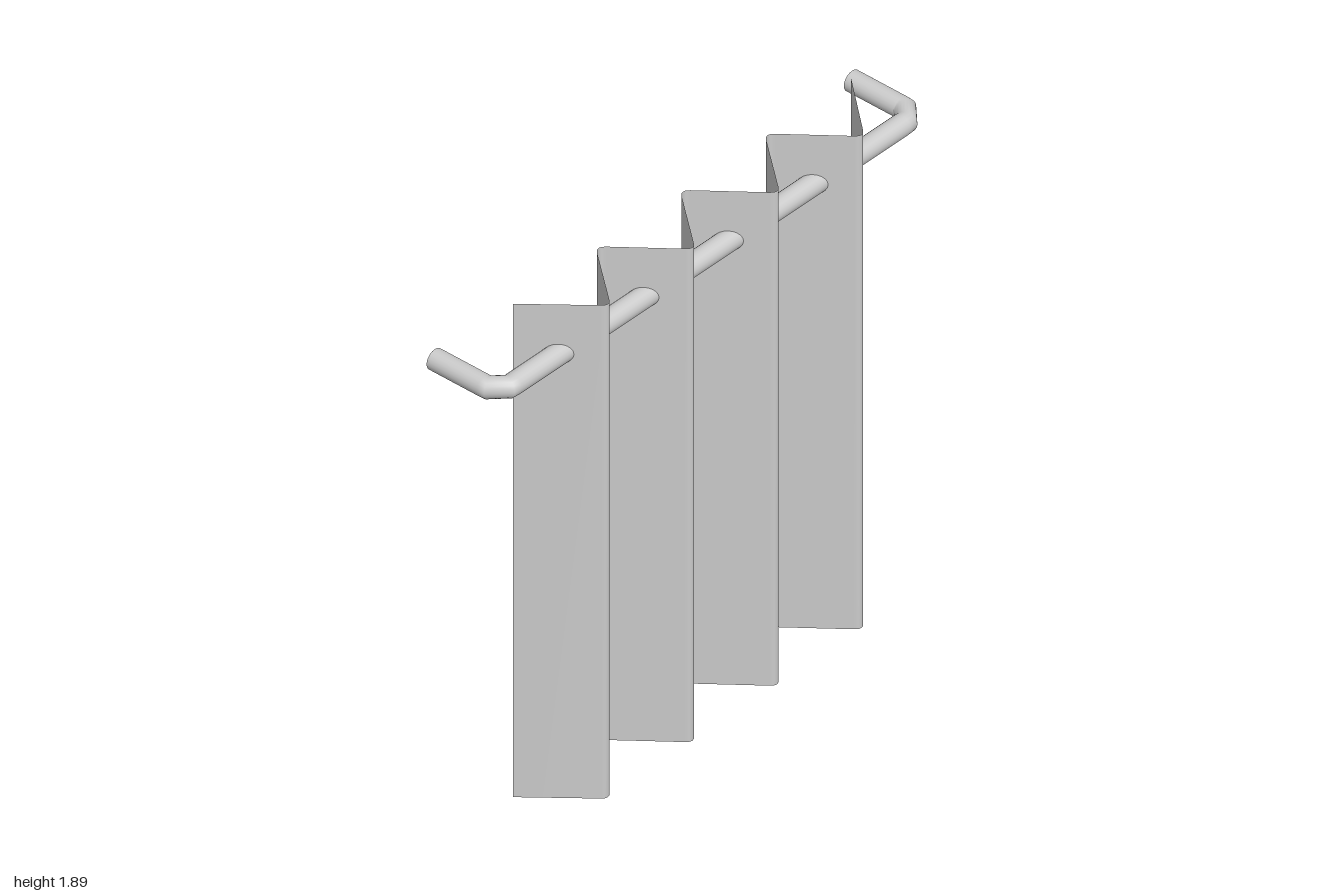
import * as THREE from 'three';

const TOP = 1.895, FOLD = 0.195, ROUND = 0.02;

// Cross-section of the pleats in (x, z), with slightly rounded folds
function pleatProfile() {
  const corners = [];
  for (let i = -4; i <= 4; i++) {
    const z = i % 2 ? 0.2 : Math.abs(i) === 4 ? -0.03 : -0.038;
    corners.push(new THREE.Vector2(i * FOLD, z));
  }
  const points = [corners[0]];
  for (let i = 1; i < corners.length - 1; i++) {
    const c = corners[i];
    const a = c.clone().lerp(corners[i - 1], ROUND / FOLD);
    const b = c.clone().lerp(corners[i + 1], ROUND / FOLD);
    points.push(...new THREE.QuadraticBezierCurve(a, c, b).getPoints(4));
  }
  points.push(corners[corners.length - 1]);
  return points;
}

// Polyline whose tube rings sit exactly on its points, mitred at the bends
class RodPath extends THREE.Curve {
  constructor(points) {
    super();
    this.points = points;
  }
  index(u) {
    return Math.round(u * (this.points.length - 1));
  }
  getPointAt(u, target = new THREE.Vector3()) {
    return target.copy(this.points[this.index(u)]);
  }
  getTangentAt(u, target = new THREE.Vector3()) {
    const i = this.index(u), p = this.points;
    target.set(0, 0, 0);
    if (i > 0) target.add(p[i].clone().sub(p[i - 1]).normalize());
    if (i < p.length - 1) target.add(p[i + 1].clone().sub(p[i]).normalize());
    return target.normalize();
  }
}

export function createModel() {
  const group = new THREE.Group();
  const material = new THREE.MeshStandardMaterial({ color: 0xcccccc, side: THREE.DoubleSide });

  // Hanging pleated cloth: a plane whose columns follow the profile
  const profile = pleatProfile();
  const cloth = new THREE.PlaneGeometry(1, TOP, profile.length - 1, 1);
  cloth.translate(0, TOP / 2, 0);
  const pos = cloth.attributes.position;
  for (let i = 0; i < pos.count; i++) {
    const p = profile[i % profile.length];
    pos.setXYZ(i, p.x, pos.getY(i), p.y);
  }
  cloth.computeVertexNormals();
  const curtain = new THREE.Mesh(cloth, material);
  curtain.name = 'curtain';
  group.add(curtain);

  // Rod threaded through the pleats, its open ends bent back to the wall
  const half = [[-0.9625, -0.19], [-0.9625, 0.015], [-0.9625, 0.03], [-0.915, 0.076], [-0.895, 0.076]];
  const path = [...half, ...half.map(([x, z]) => [-x, z]).reverse()]
    .map(([x, z]) => new THREE.Vector3(x, 1.705, z));
  const rod = new THREE.Mesh(
    new THREE.TubeGeometry(new RodPath(path), path.length - 1, 0.0375, 20, false), material);
  rod.name = 'curtainRod';
  group.add(rod);

  return group;
}
